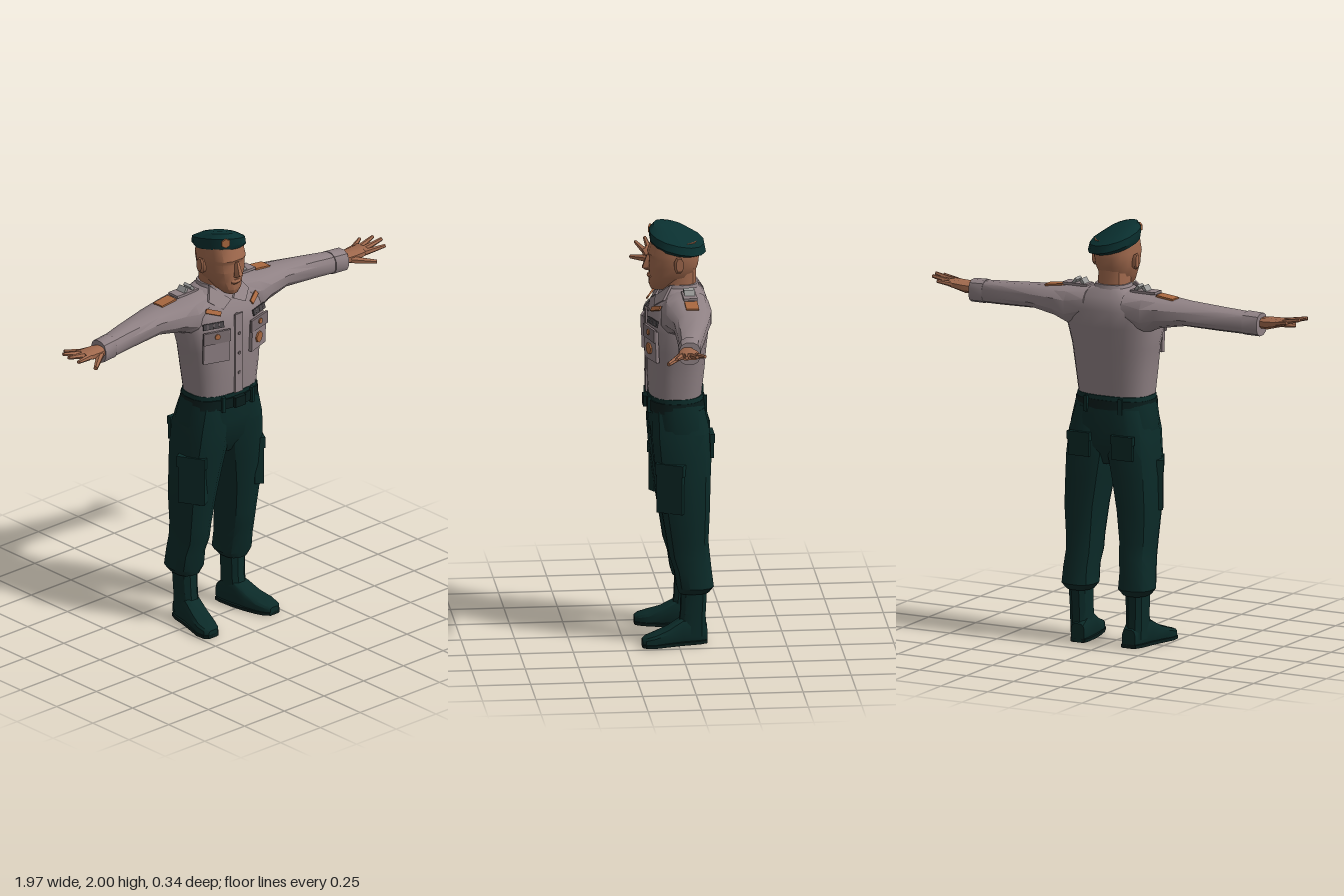
import * as THREE from 'three';
import { toCreasedNormals } from 'three/addons/utils/BufferGeometryUtils.js';

const colours = {
  shirt: 0x8f8184, trousers: 0x0b2a28, beret: 0x0a3030, skin: 0xa0694d,
  badge: 0xa8673f, ribbon: 0x474446, belt: 0x081c1b, trim: 0x7a6d70, pin: 0x9a9a98,
};

const clamp01 = (v) => Math.min(1, Math.max(0, v));
const crease = (g) => toCreasedNormals(g, 0.6);

// Capped loft along an axis; each row is [position, a0, a1, b0, b1],
// where (a, b) is (y, z), (z, x) or (x, y) for the axis x, y or z.
function loft(axis, rows, n = 12, e = 0.8) {
  const put = { x: (t, a, b) => [t, a, b], y: (t, a, b) => [b, t, a], z: (t, a, b) => [a, b, t] }[axis];
  const pos = [], idx = [];
  const pw = (v) => Math.sign(v) * Math.abs(v) ** e;
  for (const [t, a0, a1, b0, b1] of rows) {
    for (let i = 0; i < n; i++) {
      const u = ((i + 0.5) / n) * Math.PI * 2;
      pos.push(...put(t, (a0 + a1) / 2 + ((a1 - a0) / 2) * pw(Math.cos(u)),
        (b0 + b1) / 2 + ((b1 - b0) / 2) * pw(Math.sin(u))));
    }
  }
  for (const r of [rows[0], rows[rows.length - 1]]) pos.push(...put(r[0], (r[1] + r[2]) / 2, (r[3] + r[4]) / 2));
  const last = (rows.length - 1) * n, c0 = rows.length * n;
  for (let i = 0; i < n; i++) {
    const j = (i + 1) % n;
    for (let k = 0; k < last; k += n) idx.push(k + i, k + j, k + n + j, k + i, k + n + j, k + n + i);
    idx.push(c0, j, i, c0 + 1, last + i, last + j);
  }
  const g = new THREE.BufferGeometry();
  g.setAttribute('position', new THREE.Float32BufferAttribute(pos, 3));
  g.setIndex(idx);
  return g;
}

// Tapered rod between two points
function rod(p, q, r0, r1, sides = 6) {
  const a = new THREE.Vector3(...p), b = new THREE.Vector3(...q), d = b.clone().sub(a);
  const g = new THREE.CylinderGeometry(r1, r0, d.length(), sides);
  g.applyQuaternion(new THREE.Quaternion().setFromUnitVectors(new THREE.Vector3(0, 1, 0), d.normalize()));
  return g.translate(...a.add(b).multiplyScalar(0.5).toArray());
}

function box(w, h, d, x, y, z, rx = 0, ry = 0, rz = 0) {
  return new THREE.BoxGeometry(w, h, d).rotateX(rx).rotateY(ry).rotateZ(rz).translate(x, y, z);
}

// Copy to the other side of x = 0, keeping the faces turned outward
function mirror(geo) {
  const g = geo.clone().scale(-1, 1, 1);
  for (const attr of Object.values(g.attributes)) {
    const { array, itemSize: s } = attr;
    for (let i = 0; i < array.length; i += 3 * s) {
      for (let k = 0; k < s; k++) [array[i + s + k], array[i + 2 * s + k]] = [array[i + 2 * s + k], array[i + s + k]];
    }
  }
  return g;
}

const torsoRows = [
  [1.17, -0.12, 0.125, -0.18, 0.18], [1.3, -0.135, 0.135, -0.195, 0.195], [1.42, -0.145, 0.135, -0.21, 0.21],
  [1.52, -0.155, 0.135, -0.235, 0.235], [1.6, -0.16, 0.115, -0.225, 0.225], [1.66, -0.14, 0.075, -0.17, 0.17],
  [1.7, -0.11, 0.05, -0.09, 0.09],
];

// Depth of the shirt front at (x, y)
function chestZ(x, y) {
  const i = Math.max(1, torsoRows.findIndex((r) => r[0] >= y));
  const [p, q] = [torsoRows[i - 1], torsoRows[i]];
  const [, z0, z1, , rx] = p.map((v, k) => THREE.MathUtils.lerp(v, q[k], (y - p[0]) / (q[0] - p[0])));
  return (z0 + z1) / 2 + ((z1 - z0) / 2) * clamp01(1 - (Math.abs(x) / rx) ** 2.67) ** 0.375;
}

// Lay a geometry facing +z on the shirt front
function onChest(g, x, y, lift = 0.002, roll = 0) {
  const h = 0.02, z = chestZ(x, y);
  const n = new THREE.Vector3(-(chestZ(x + h, y) - chestZ(x - h, y)) / (2 * h),
    -(chestZ(x, y + h) - chestZ(x, y - h)) / (2 * h), 1).normalize();
  const o = new THREE.Object3D();
  o.position.set(x, y, z).addScaledVector(n, lift);
  o.lookAt(o.position.clone().add(n));
  o.rotateZ(roll);
  o.updateMatrix();
  return g.applyMatrix4(o.matrix);
}
const disc = (r, sides = 8, d = 0.008) => new THREE.CylinderGeometry(r, r, d, sides).rotateX(Math.PI / 2);
const plate = (w, h, d = 0.008) => new THREE.BoxGeometry(w, h, d);

export function createModel() {
  const model = new THREE.Group();
  model.name = 'uniformedMan';
  const mats = {};
  for (const [name, color] of Object.entries(colours)) {
    mats[name] = new THREE.MeshStandardMaterial({ color });
    mats[name].name = name;
  }
  const add = (name, mat, geo) => {
    const m = new THREE.Mesh(geo.index ? crease(geo) : geo, mats[mat]);
    m.name = name;
    model.add(m);
  };
  const pair = (name, mat, geo) => {
    const g = geo.index ? crease(geo) : geo;
    add(name + 'Left', mat, g);
    add(name + 'Right', mat, mirror(g));
  };

  // Shirt
  add('shirtBody', 'shirt', loft('y', torsoRows, 24, 0.75));
  pair('sleeve', 'shirt', loft('x', [
    [0.1, 1.54, 1.695, -0.15, 0.07], [0.2, 1.5, 1.69, -0.155, 0.088], [0.27, 1.53, 1.68, -0.145, 0.07],
    [0.4, 1.553, 1.667, -0.12, 0.045], [0.58, 1.543, 1.652, -0.08, 0.045], [0.7, 1.537, 1.642, -0.05, 0.05],
  ]));
  pair('cuff', 'shirt', loft('x', [[0.69, 1.535, 1.646, -0.054, 0.054], [0.765, 1.533, 1.642, -0.045, 0.058]]));
  add('collarBand', 'shirt', loft('y', [[1.66, -0.125, 0.075, -0.1, 0.1], [1.715, -0.108, 0.045, -0.082, 0.082]], 14));

  // Collar wings sloping back toward the neck
  const wing = new THREE.ExtrudeGeometry(new THREE.Shape([[0.008, 1.65], [0.07, 1.62], [0.125, 1.66], [0.085, 1.72]]
    .map((p) => new THREE.Vector2(...p))), { depth: 0.012, bevelEnabled: false });
  const wp = wing.attributes.position;
  for (let i = 0; i < wp.count; i++) wp.setZ(i, wp.getZ(i) + 0.105 - (wp.getY(i) - 1.62) * 0.75 - wp.getX(i) * 0.15);
  pair('collarWing', 'shirt', crease(wing));

  // Shirt front details
  add('placket', 'shirt', onChest(plate(0.05, 0.4), 0, 1.39, 0));
  for (const y of [1.29, 1.39, 1.49, 1.58]) add('shirtButton', 'trim', onChest(disc(0.008), 0, y, 0.005));
  pair('chestPocket', 'shirt', onChest(plate(0.13, 0.15, 0.016), 0.13, 1.45));
  pair('pocketFlap', 'trim', onChest(plate(0.14, 0.06, 0.012), 0.13, 1.505, 0.008));
  pair('pocketButton', 'badge', onChest(disc(0.014), 0.13, 1.51, 0.016));
  pair('ribbonBar', 'ribbon', onChest(plate(0.105, 0.028), 0.14, 1.56, 0.009));
  for (let i = -1; i <= 1; i++) pair('ribbonDivider', 'trim', onChest(plate(0.004, 0.026, 0.006), 0.14 + i * 0.026, 1.56, 0.013));
  pair('collarBadge', 'badge', onChest(plate(0.075, 0.022), 0.125, 1.615, 0.012, 0.35));
  add('chestMedal', 'badge', onChest(disc(0.028, 7), 0.125, 1.43, 0.014));

  // Shoulder straps and patches
  pair('shoulderStrap', 'shirt', box(0.13, 0.012, 0.065, 0.18, 1.694, -0.05, 0, 0, 0));
  for (const [x, tilt] of [[0.145, -0.6], [0.185, 0.6]]) {
    pair('strapPin', 'pin', new THREE.BoxGeometry(0.014, 0.03, 0.05).rotateZ(tilt).translate(x, 1.708, -0.05));
  }
  pair('shoulderPatch', 'badge', new THREE.BoxGeometry(0.09, 0.009, 0.06).rotateZ(-0.12).translate(0.295, 1.679, -0.05));

  // Hands
  pair('palm', 'skin', loft('x', [
    [0.74, 1.57, 1.618, -0.01, 0.045], [0.8, 1.568, 1.625, -0.03, 0.062], [0.885, 1.592, 1.626, -0.035, 0.072],
  ], 8));
  for (const [name, p, q, r] of [
    ['thumb', [0.79, 1.59, 0.045], [0.885, 1.575, 0.118], 0.019],
    ['indexFinger', [0.865, 1.607, 0.055], [0.965, 1.622, 0.088], 0.016],
    ['middleFinger', [0.87, 1.61, 0.032], [0.985, 1.635, 0.042], 0.016],
    ['ringFinger', [0.87, 1.61, 0.006], [0.975, 1.633, -0.008], 0.015],
    ['littleFinger', [0.86, 1.607, -0.018], [0.93, 1.622, -0.05], 0.014],
  ]) pair(name, 'skin', rod(p, q, r, r * 0.55));

  // Head and face
  add('neck', 'skin', loft('y', [[1.64, -0.1, 0.06, -0.075, 0.075], [1.8, -0.098, 0.05, -0.072, 0.072]]));
  add('head', 'skin', loft('y', [
    [1.685, 0.03, 0.112, -0.032, 0.032], [1.71, -0.03, 0.124, -0.055, 0.055], [1.75, -0.085, 0.12, -0.077, 0.077],
    [1.8, -0.107, 0.126, -0.094, 0.094], [1.84, -0.112, 0.122, -0.1, 0.1], [1.86, -0.112, 0.13, -0.101, 0.101],
    [1.92, -0.105, 0.11, -0.098, 0.098],
  ], 14));
  add('nose', 'skin', loft('y', [[1.775, 0.1, 0.138, -0.018, 0.018], [1.787, 0.1, 0.157, -0.02, 0.02], [1.85, 0.1, 0.132, -0.01, 0.01]], 6));
  add('lips', 'skin', loft('y', [[1.738, 0.09, 0.124, -0.028, 0.028], [1.748, 0.09, 0.132, -0.03, 0.03], [1.76, 0.09, 0.126, -0.026, 0.026]], 8));
  pair('ear', 'skin', loft('x', [[0.085, 1.79, 1.845, -0.02, 0.015], [0.108, 1.78, 1.86, -0.03, 0.015], [0.116, 1.79, 1.855, -0.03, 0.005]], 8));

  // Beret, tilted back and toward the left
  const beret = loft('y', [
    [1.885, -0.115, 0.113, -0.104, 0.104], [1.905, -0.145, 0.122, -0.11, 0.126], [1.94, -0.138, 0.122, -0.112, 0.118],
    [1.965, -0.07, 0.1, -0.088, 0.06], [1.974, -0.02, 0.07, -0.06, 0.02],
  ], 14, 0.95);
  const bp = beret.attributes.position;
  for (let i = 0; i < bp.count; i++) bp.setY(i, bp.getY(i) + 0.23 * bp.getZ(i) - 0.2 * bp.getX(i));
  add('beret', 'beret', beret);
  add('beretBadge', 'badge', disc(0.023, 6, 0.009).rotateY(-0.4).translate(-0.058, 1.957, 0.11));

  // Trousers
  add('trouserSeat', 'trousers', loft('y', [
    [0.86, -0.1, 0.06, -0.09, 0.09], [0.95, -0.145, 0.112, -0.2, 0.2], [1.05, -0.155, 0.128, -0.215, 0.215],
    [1.19, -0.13, 0.13, -0.187, 0.187],
  ], 20));
  pair('trouserLeg', 'trousers', loft('y', [
    [0.25, -0.145, 0, 0.09, 0.21], [0.28, -0.167, 0.01, 0.065, 0.235], [0.36, -0.157, 0.022, 0.068, 0.23],
    [0.43, -0.15, 0.045, 0.06, 0.222], [0.5, -0.143, 0.055, 0.058, 0.225], [0.65, -0.15, 0.08, 0.042, 0.235],
    [0.8, -0.155, 0.1, 0.015, 0.232], [0.9, -0.16, 0.115, -0.005, 0.228], [1.02, -0.155, 0.125, -0.01, 0.215],
    [1.13, -0.13, 0.12, -0.01, 0.187],
  ]));
  pair('cargoPocket', 'trousers', box(0.045, 0.21, 0.13, 0.2, 0.755, 0.037, 0, -0.5));
  pair('cargoPocketFlap', 'trousers', box(0.054, 0.055, 0.14, 0.2, 0.86, 0.037, 0, -0.5));
  pair('backPocket', 'trousers', box(0.11, 0.1, 0.016, 0.115, 0.95, -0.158));
  pair('backPocketFlap', 'trousers', box(0.118, 0.04, 0.024, 0.115, 0.995, -0.158));

  // Belt with loops and buckle
  add('belt', 'belt', loft('y', [[1.12, -0.142, 0.137, -0.197, 0.197], [1.17, -0.137, 0.137, -0.193, 0.193]], 20));
  add('beltBuckle', 'belt', box(0.065, 0.05, 0.022, 0, 1.145, 0.14));
  pair('frontBeltLoop', 'trousers', box(0.018, 0.075, 0.016, 0.09, 1.147, 0.13, 0, 0.15));
  pair('backBeltLoop', 'trousers', box(0.018, 0.075, 0.016, 0.09, 1.147, -0.134, 0, -0.15));

  // Boots
  pair('bootShaft', 'trousers', loft('y', [
    [0.04, -0.132, 0.01, 0.1, 0.195], [0.15, -0.13, -0.008, 0.1, 0.197], [0.29, -0.137, -0.012, 0.1, 0.203],
  ], 10));
  const foot = [
    [-0.135, 0.1, 0.17, 0, 0.09], [-0.1, 0.095, 0.187, 0, 0.12], [-0.02, 0.1, 0.203, 0, 0.13], [0.05, 0.112, 0.222, 0, 0.088],
    [0.11, 0.128, 0.24, 0, 0.066], [0.155, 0.147, 0.236, 0, 0.052], [0.172, 0.165, 0.22, 0.008, 0.04],
  ];
  pair('bootFoot', 'trousers', loft('z', foot, 12, 0.6));
  pair('bootSole', 'belt', loft('z', foot.map(([z, a, b]) => [z, a - 0.004, b + 0.004, 0, 0.02]), 8, 0.3));

  return model;
}
